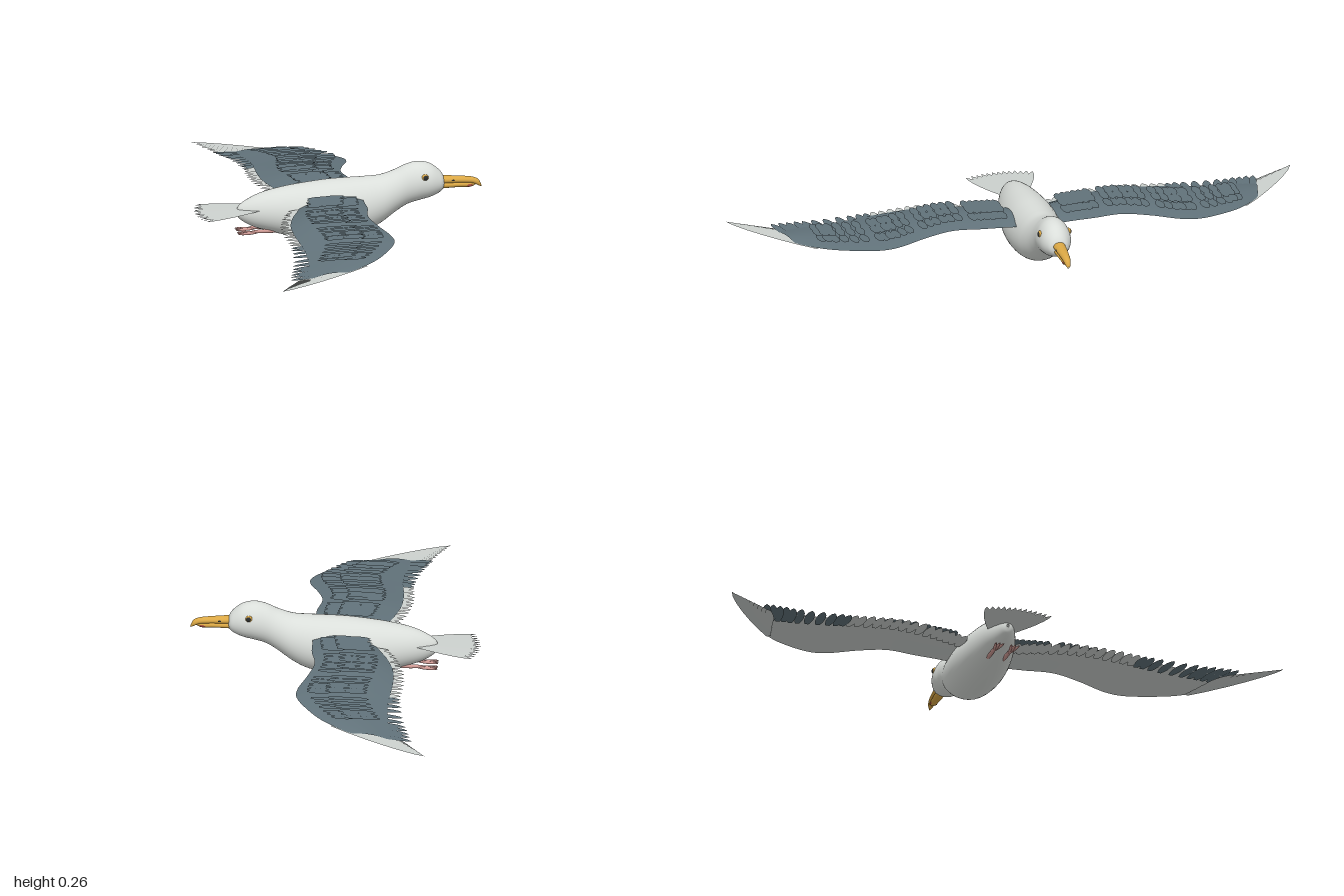
import * as THREE from 'three';
import { mergeGeometries } from 'three/addons/utils/BufferGeometryUtils.js';
import { ParametricGeometry } from 'three/addons/geometries/ParametricGeometry.js';

const mat = (name, color, side = THREE.FrontSide) => {
  const m = new THREE.MeshStandardMaterial({ color, side });
  m.name = name;
  return m;
};
const V = (x, y, z) => new THREE.Vector3(x, y, z);
const lerp = THREE.MathUtils.lerp;

export function createModel() {
  const bird = new THREE.Group();
  bird.name = 'seabird';
  const plumage = mat('pale plumage', 0xdadeda);
  const pale = mat('pale feathers', 0xcdd2cf, THREE.DoubleSide);
  const slate = mat('slate feathers', 0x62737b, THREE.DoubleSide);
  const yellow = mat('beak yellow', 0xdba845);
  const red = mat('beak spot red', 0xa8503c);
  const black = mat('dark eye', 0x2b2d2e);
  const pink = mat('foot pink', 0xcf9a94);

  const add = (name, geometry, material, parent = bird) => {
    const mesh = new THREE.Mesh(geometry, material);
    mesh.name = name;
    parent.add(mesh);
    return mesh;
  };
  const ellipsoid = (name, material, [x, y, z], [rx, ry, rz], parent) => {
    const mesh = add(name, new THREE.SphereGeometry(1, 20, 12), material, parent);
    mesh.position.set(x, y, z);
    mesh.scale.set(rx, ry, rz);
    return mesh;
  };

  // Smooth loft along x from stations [x, bottom, top, half width]
  const loft = (stations, egg, along, around) => {
    const heights = new THREE.CatmullRomCurve3(stations.map(s => V(s[0], s[1], s[2])), false, 'catmullrom', 0.5);
    const widths = new THREE.CatmullRomCurve3(stations.map(s => V(s[0], s[3], 0)), false, 'catmullrom', 0.5);
    return new ParametricGeometry((u, v, out) => {
      const h = heights.getPoint(u), w = widths.getPoint(u).y, a = v * Math.PI * 2;
      out.set(h.x, (h.y + h.z) / 2 + (h.z - h.y) / 2 * Math.cos(a),
        -w * Math.sin(a) * (1 - egg * Math.cos(a)));
    }, along, around);
  };

  // Flat leaf-shaped feather between two points
  const feather = (base, tip, width) => {
    const s = new THREE.Shape();
    s.moveTo(0, -width * 0.2);
    s.bezierCurveTo(0.3, -width * 0.6, 0.85, -width * 0.6, 1, 0);
    s.bezierCurveTo(0.85, width * 0.6, 0.3, width * 0.6, 0, width * 0.2);
    const dir = tip.clone().sub(base);
    const side = V(0, 1, 0).cross(dir).normalize();
    const up = dir.clone().cross(side).normalize();
    const g = new THREE.ShapeGeometry(s, 6);
    g.applyMatrix4(new THREE.Matrix4().makeBasis(dir, side, up).setPosition(base));
    // restore unit normals after the stretched basis
    const n = g.attributes.normal;
    for (let i = 0; i < n.count; i++) n.setXYZ(i, up.x, up.y, up.z);
    return g;
  };

  // Body, neck and head in one skin
  add('body', loft([
    [-0.352, 0.098, 0.108, 0.004], [-0.34, 0.077, 0.128, 0.02], [-0.30, 0.052, 0.153, 0.042],
    [-0.25, 0.035, 0.172, 0.06], [-0.18, 0.016, 0.187, 0.077], [-0.10, 0.004, 0.198, 0.089],
    [-0.03, 0.001, 0.205, 0.093], [0.04, 0.007, 0.208, 0.09], [0.10, 0.022, 0.21, 0.083],
    [0.15, 0.048, 0.214, 0.073], [0.20, 0.084, 0.23, 0.062], [0.24, 0.108, 0.248, 0.057],
    [0.28, 0.12, 0.256, 0.058], [0.32, 0.13, 0.248, 0.053], [0.35, 0.143, 0.227, 0.04],
    [0.365, 0.156, 0.208, 0.027], [0.372, 0.175, 0.188, 0.006]
  ], 0.08, 90, 40), plumage);

  // Hooked beak
  const beak = new THREE.Group();
  beak.name = 'beak';
  bird.add(beak);
  add('upperBeak', loft([
    [0.35, 0.174, 0.204, 0.022], [0.40, 0.175, 0.2, 0.019], [0.44, 0.174, 0.197, 0.016],
    [0.47, 0.171, 0.193, 0.013], [0.49, 0.162, 0.184, 0.009], [0.5, 0.158, 0.166, 0.002]
  ], 0.1, 24, 20), yellow, beak);
  add('lowerBeak', loft([
    [0.35, 0.156, 0.182, 0.019], [0.42, 0.159, 0.179, 0.015],
    [0.46, 0.158, 0.177, 0.011], [0.48, 0.165, 0.172, 0.002]
  ], 0, 16, 20), yellow, beak);

  // Fanned tail
  const tail = [];
  for (let i = 0; i < 13; i++) {
    const t = i / 6 - 1;
    tail.push(feather(V(-0.26, 0.119 - Math.abs(t) * 0.003, t * 0.03),
      V(-0.5 + 0.025 * t * t, 0.102 + 0.0008 * (i % 2), t * 0.118), 0.034));
  }
  add('tailFeathers', mergeGeometries(tail), pale);

  for (const s of [1, -1]) {
    const label = s > 0 ? 'plusZ' : 'minusZ';

    // Eye, nostril and beak spot
    const face = new THREE.Group();
    face.name = `face ${label}`;
    bird.add(face);
    ellipsoid('eyeRing', yellow, [0.297, 0.21, s * 0.051], [0.012, 0.012, 0.007], face);
    ellipsoid('pupil', black, [0.298, 0.21, s * 0.054], [0.009, 0.009, 0.006], face);
    ellipsoid('nostril', black, [0.398, 0.187, s * 0.0175], [0.009, 0.003, 0.002], face);
    ellipsoid('beakSpot', red, [0.455, 0.166, s * 0.0095], [0.014, 0.005, 0.003], face);

    // Foot trailing behind under the tail
    const foot = new THREE.Group();
    foot.name = `foot ${label}`;
    bird.add(foot);
    ellipsoid('shank', pink, [-0.25, 0.037, s * 0.028], [0.06, 0.007, 0.007], foot);
    for (const k of [-1, 0, 1]) {
      const toe = ellipsoid('toe', pink, [-0.315, 0.033, s * 0.028 + k * 0.007], [0.037, 0.005, 0.005], foot);
      toe.rotation.y = k * 0.2;
    }

    // Wing surface between leading and trailing curves
    const wing = new THREE.Group();
    wing.name = `wing ${label}`;
    bird.add(wing);
    const curve = pts => new THREE.CatmullRomCurve3(pts.map(p => V(p[0], p[1], s * p[2])), false, 'catmullrom', 0.5);
    const lead = curve([[0.08, 0.145, 0.04], [0.076, 0.148, 0.12], [0.074, 0.15, 0.2], [0.06, 0.148, 0.3],
      [0.08, 0.14, 0.4], [0.11, 0.129, 0.5], [0.105, 0.122, 0.58], [0.04, 0.11, 0.7],
      [-0.025, 0.101, 0.77], [-0.09, 0.094, 0.82]]);
    const trail = curve([[-0.13, 0.125, 0.04], [-0.16, 0.125, 0.12], [-0.188, 0.125, 0.2], [-0.21, 0.125, 0.3],
      [-0.215, 0.122, 0.4], [-0.21, 0.117, 0.5], [-0.205, 0.111, 0.58], [-0.21, 0.1, 0.7],
      [-0.22, 0.092, 0.78], [-0.225, 0.084, 0.85]]);
    const surface = (u, v, arch) => {
      const p = lead.getPoint(u).lerp(trail.getPoint(u), v);
      p.y += arch * lerp(0.028, 0.008, u) * Math.sin(Math.PI * v);
      return p;
    };
    const sheet = arch => new ParametricGeometry((u, v, out) => out.copy(surface(u, v, arch)), 48, 10);
    add('wingTop', sheet(1), slate, wing);
    add('wingUnderside', sheet(0.45), pale, wing);

    // Short feathers in stepped clusters over the wing
    const coverts = [];
    for (let i = 0; i < 27; i++) {
      if (i % 7 === 6) continue;
      const u = 0.1 + 0.73 * i / 26;
      for (const [k, v] of [0.12, 0.32, 0.52].entries()) {
        const p = surface(u, v, 1);
        p.y += 0.014 - 0.002 * k + 0.001 * (i % 2);
        coverts.push(feather(p, V(p.x - 0.08, p.y - 0.004, p.z), 0.032));
      }
    }
    add('coverts', mergeGeometries(coverts), slate, wing);

    // Trailing feathers: pale inner row, slate outer row
    const inner = [], outer = [];
    for (let i = 0; i < 26; i++) {
      const u = 0.08 + 0.87 * i / 25;
      const p = trail.getPoint(u);
      const t = THREE.MathUtils.clamp((u - 0.58) / 0.37, 0, 1);
      const base = V(p.x + 0.07, p.y + 0.002, p.z - s * 0.01 * t);
      const tip = V(p.x - lerp(0.038, 0.075, t), p.y - 0.004 - 0.001 * (i % 2), p.z + s * 0.035 * t);
      (u < 0.6 ? inner : outer).push(feather(base, tip, 0.034));
    }
    add('innerFlightFeathers', mergeGeometries(inner), pale, wing);
    add('outerFlightFeathers', mergeGeometries(outer), slate, wing);

    // Long pale feathers at the wing tip
    const tips = [];
    for (let i = 0; i < 9; i++) {
      const t = i / 8;
      tips.push(feather(
        V(lerp(-0.15, -0.02, t), lerp(0.088, 0.098, t), s * lerp(0.79, 0.755, t)),
        V(lerp(-0.275, -0.352, t), lerp(0.074, 0.084, t), s * lerp(0.845, 1, t)), lerp(0.03, 0.042, t)));
    }
    add('wingTipFeathers', mergeGeometries(tips), pale, wing);
  }
  return bird;
}
